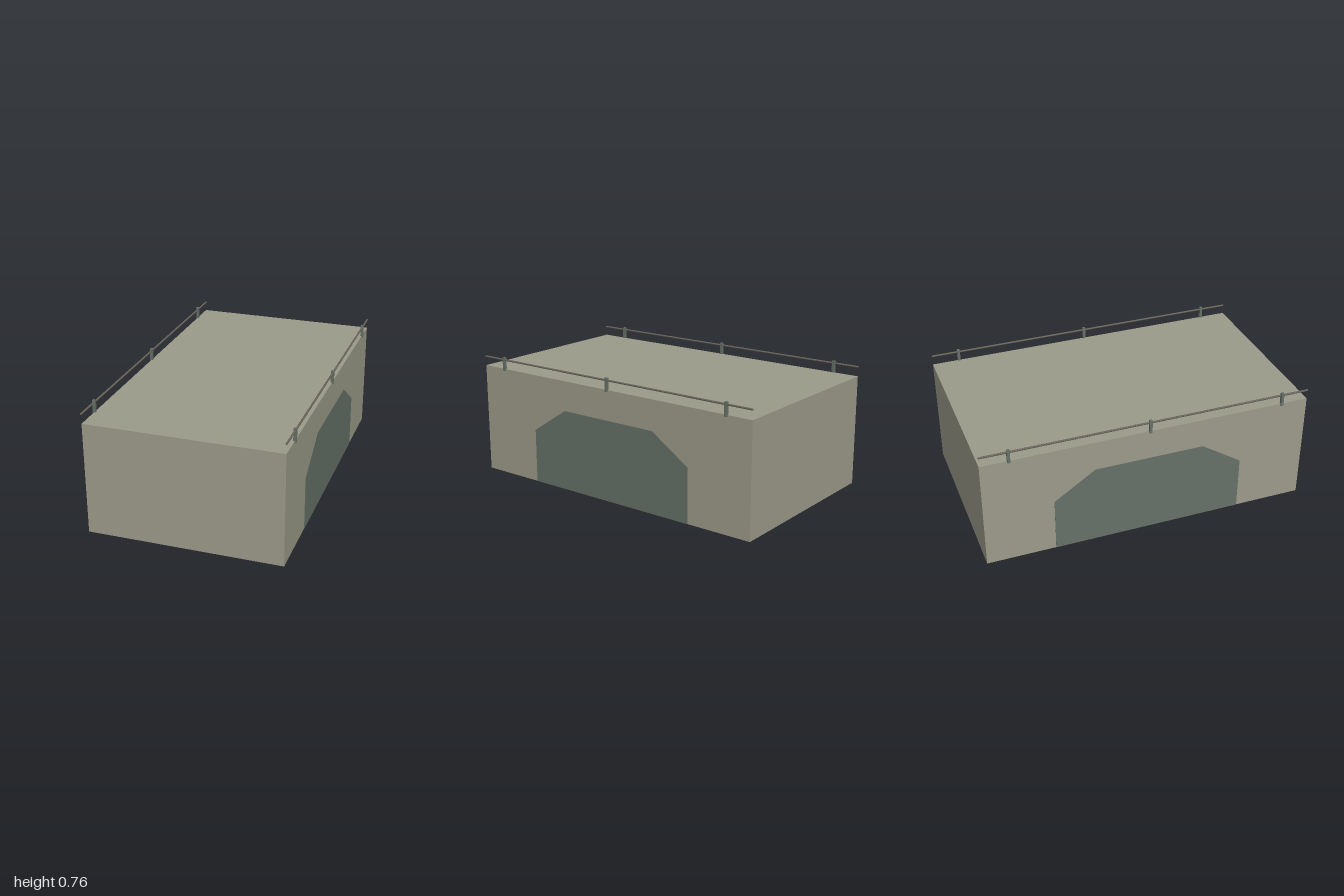
import * as THREE from 'three';

export function createModel() {
  const model = new THREE.Group();
  const paint = (name, color) => {
    const m = new THREE.MeshStandardMaterial({ color });
    m.name = name;
    return m;
  };
  const concrete = paint('concrete', 0x9c9b8a);
  const slate = paint('slate', 0x667068);
  const railMetal = paint('railMetal', 0x6a665c);

  const add = (name, geometry, material, x, y, z) => {
    const mesh = new THREE.Mesh(geometry, material);
    mesh.name = name;
    mesh.position.set(x, y, z);
    model.add(mesh);
    return mesh;
  };

  const halfWidth = 0.583, height = 0.685;

  // Solid main block
  add('body', new THREE.BoxGeometry(halfWidth * 2, height, 2), concrete, 0, height / 2, 0);

  // Chamfered opening, drawn in (z, y) and turned to lie on the side walls
  const opening = new THREE.Shape([
    [-0.583, 0], [0.583, 0], [0.583, 0.335], [0.333, 0.5], [-0.333, 0.5], [-0.583, 0.335],
  ].map(([z, y]) => new THREE.Vector2(z, y)));
  const panel = new THREE.ExtrudeGeometry(opening, { depth: 0.002, bevelEnabled: false });

  const post = new THREE.BoxGeometry(0.017, 0.083, 0.017);
  const rail = new THREE.CylinderGeometry(0.006, 0.006, 2, 8).rotateX(Math.PI / 2);

  for (const side of [-1, 1]) {
    const label = side > 0 ? 'left' : 'right';
    const x = side * halfWidth;
    add(`${label}Opening`, panel, slate, x, 0, 0).rotation.y = side * Math.PI / 2;

    // Handrail on three short posts
    for (const z of [-0.833, 0, 0.833]) add(`${label}RailPost`, post, slate, x, 0.7165, z);
    add(`${label}Rail`, rail, railMetal, x, 0.743, 0);
  }
  return model;
}
